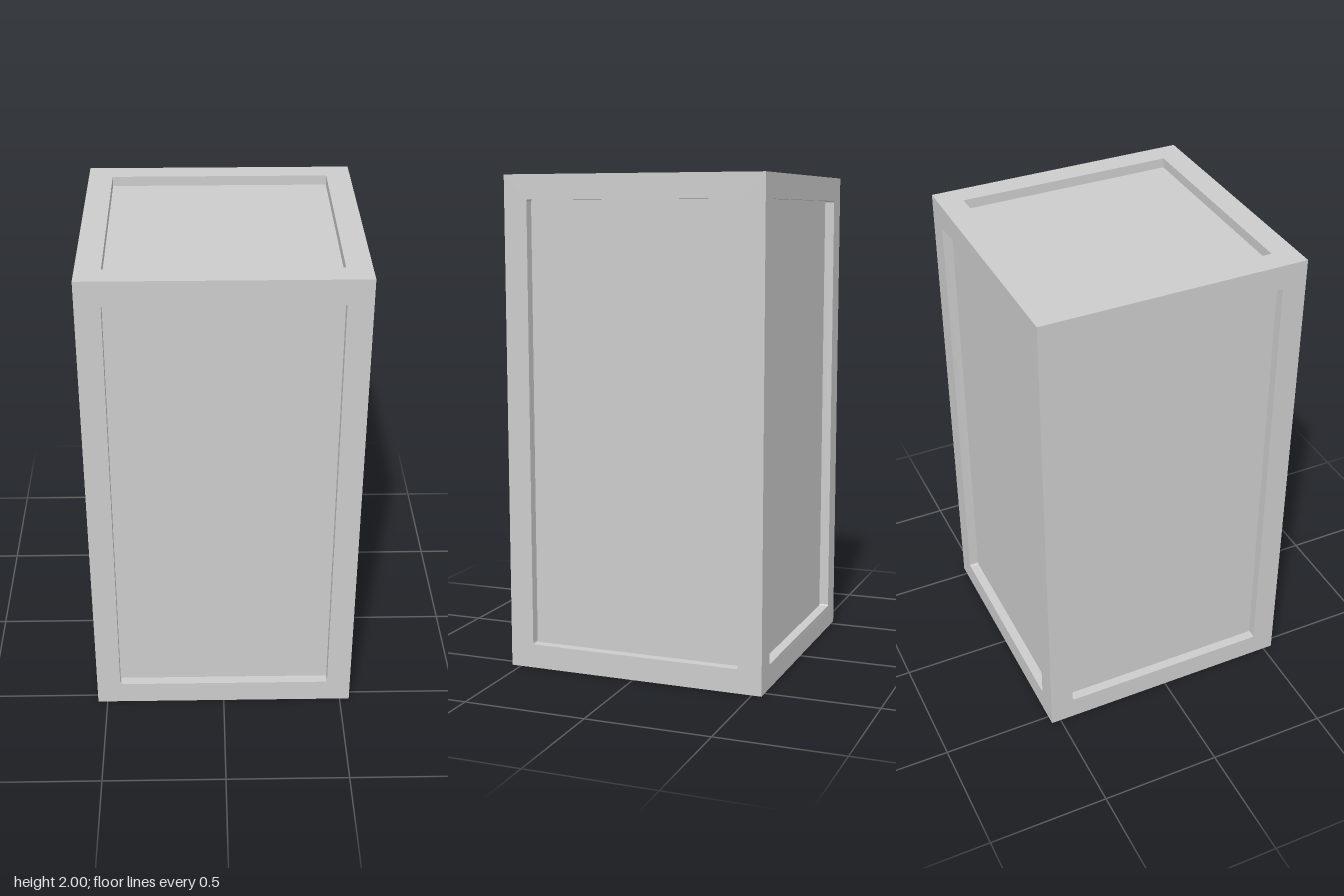
import * as THREE from 'three';

const WIDTH = 1.08, HEIGHT = 2, BORDER = 0.098, DEPTH = 0.04;

// Outline of a panel opening, counter-clockwise, with slightly eased corners
function openingPoints(w, h, r) {
  const x = w / 2, y = h / 2;
  if (r === 0) return [[-x, -y], [x, -y], [x, y], [-x, y]].map(p => new THREE.Vector2(...p));
  const s = new THREE.Shape();
  s.absarc(x - r, -y + r, r, -Math.PI / 2, 0);
  s.absarc(x - r, y - r, r, 0, Math.PI / 2);
  s.absarc(-x + r, y - r, r, Math.PI / 2, Math.PI);
  s.absarc(-x + r, -y + r, r, Math.PI, Math.PI * 1.5);
  return s.getPoints(3);
}

// Walls running from the frame's face back to the sunken panel
function rimGeometry(points) {
  const pos = [];
  points.forEach((a, i) => {
    const b = points[(i + 1) % points.length];
    if (a.distanceTo(b) < 1e-6) return;
    pos.push(a.x, a.y, 0, b.x, b.y, 0, b.x, b.y, -DEPTH);
    pos.push(a.x, a.y, 0, b.x, b.y, -DEPTH, a.x, a.y, -DEPTH);
  });
  const g = new THREE.BufferGeometry();
  g.setAttribute('position', new THREE.Float32BufferAttribute(pos, 3));
  g.computeVertexNormals();
  return g;
}

// One side of the box, facing +z: flat frame, recess walls and sunken panel
function recessedSide(name, w, h, r, material) {
  const side = new THREE.Group();
  side.name = name;
  const points = openingPoints(w - 2 * BORDER, h - 2 * BORDER, r);
  const outer = new THREE.Shape(openingPoints(w, h, 0));
  outer.holes.push(new THREE.Path(points));
  const add = (part, geometry, z = 0) => {
    const mesh = new THREE.Mesh(geometry, material);
    mesh.name = part;
    mesh.position.z = z;
    side.add(mesh);
  };
  add('frame', new THREE.ShapeGeometry(outer));
  add('recessWalls', rimGeometry(points));
  add('panel', new THREE.ShapeGeometry(new THREE.Shape(points)), -DEPTH);
  return side;
}

export function createModel() {
  const model = new THREE.Group();
  model.name = 'panelledBox';
  const material = new THREE.MeshStandardMaterial({ color: 0xcccccc });

  // Four upright sides
  ['frontSide', 'leftSide', 'backSide', 'rightSide'].forEach((name, i) => {
    const side = recessedSide(name, WIDTH, HEIGHT, 0.008, material);
    const angle = i * Math.PI / 2;
    side.rotation.y = angle;
    side.position.set(Math.sin(angle) * WIDTH / 2, HEIGHT / 2, Math.cos(angle) * WIDTH / 2);
    model.add(side);
  });

  // Top and bottom
  for (const [name, turn, y] of [['topSide', -1, HEIGHT], ['bottomSide', 1, 0]]) {
    const side = recessedSide(name, WIDTH, WIDTH, 0, material);
    side.rotation.x = turn * Math.PI / 2;
    side.position.y = y;
    model.add(side);
  }
  return model;
}
